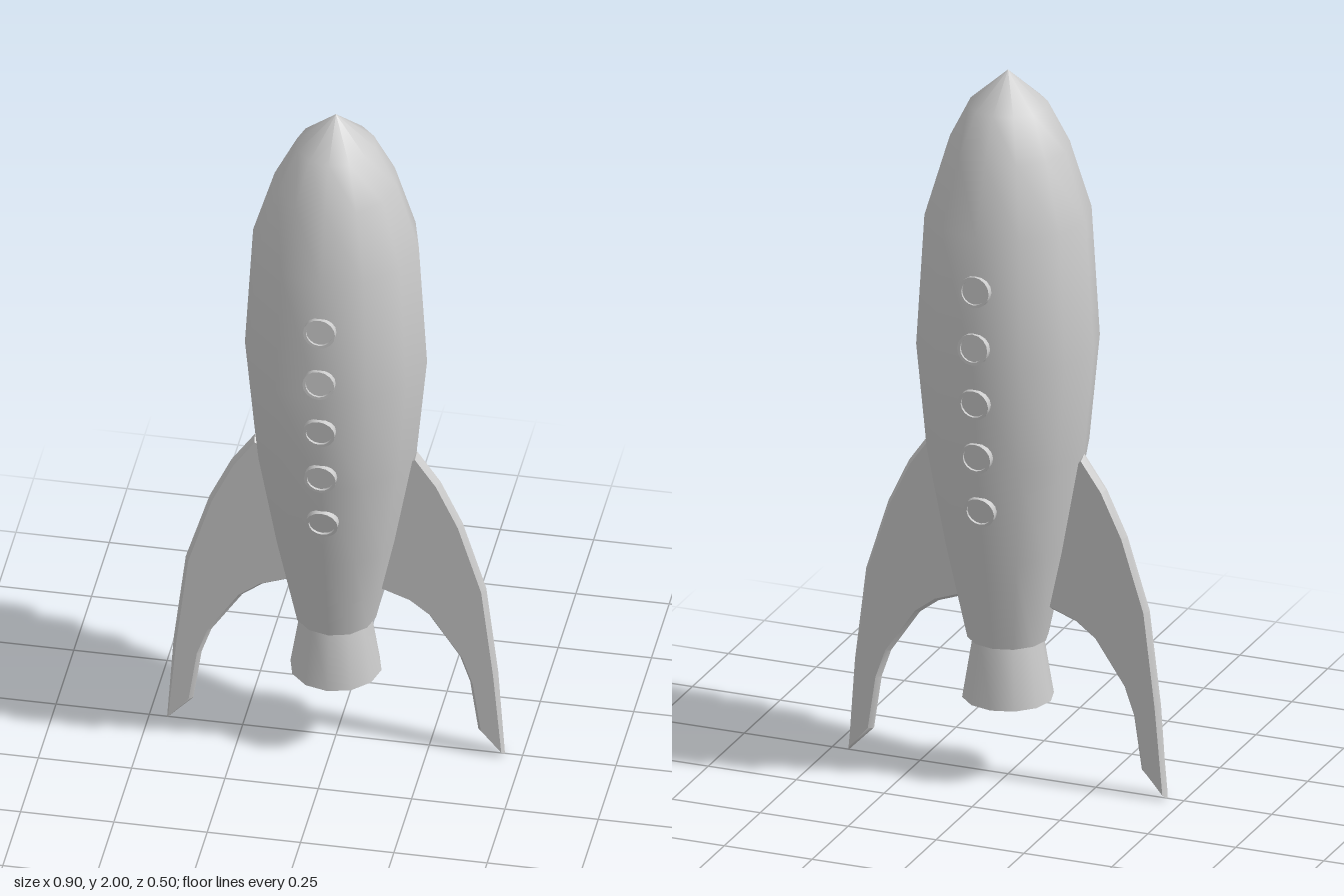
import * as THREE from 'three';
import { toCreasedNormals } from 'three/addons/utils/BufferGeometryUtils.js';

const material = new THREE.MeshStandardMaterial({ color: 0xcccccc });
const vectors = (points) => points.map(([x, y]) => new THREE.Vector2(x, y));

function mesh(name, geometry, crease) {
  const part = new THREE.Mesh(toCreasedNormals(geometry, crease), material);
  part.name = name;
  return part;
}

const lathe = (name, points, sides) =>
  mesh(name, new THREE.LatheGeometry(vectors(points), sides), 0.75);

// Hull profile [radius, y], from tail to nose
const hull = [
  [0.108, 0.395], [0.165, 0.66], [0.216, 0.94], [0.244, 1.235],
  [0.222, 1.6], [0.164, 1.79], [0.106, 1.905], [0, 2],
];

// Radius and lean of the hull at a given height
function hullAt(y) {
  const i = hull.findIndex((p) => p[1] > y);
  const [r0, y0] = hull[i - 1];
  const [r1, y1] = hull[i];
  const slope = (r1 - r0) / (y1 - y0);
  return { radius: r0 + slope * (y - y0), lean: Math.atan(slope) };
}

// Swept fin pointing to +x, with a chamfered edge all round
function createFin(name) {
  const outline = [
    [0.16, 0.9], [0.217, 0.94], [0.28, 0.85], [0.339, 0.725], [0.402, 0.524],
    [0.434, 0.26], [0.452, 0.0], [0.382, 0.072], [0.36, 0.222], [0.333, 0.3],
    [0.25, 0.423], [0.196, 0.464], [0.13, 0.488], [0.09, 0.5],
  ];
  const depth = 0.006;
  const geometry = new THREE.ExtrudeGeometry(new THREE.Shape(vectors(outline)), {
    depth, bevelThickness: 0.015, bevelSize: 0.01, bevelOffset: -0.01, bevelSegments: 1,
  });
  geometry.translate(0, 0, -depth / 2);
  return mesh(name, geometry, 0.6);
}

export function createModel() {
  const rocket = new THREE.Group();
  rocket.name = 'rocket';

  rocket.add(lathe('hull', [[0, 0.395], ...hull], 12));

  // Hollow flared nozzle: inside wall first, then the rim and the outside
  rocket.add(lathe('nozzle', [
    [0, 0.37], [0.078, 0.37], [0.106, 0.225], [0.122, 0.225], [0.094, 0.396],
  ], 12));

  const leftFin = createFin('leftFin');
  const rightFin = createFin('rightFin');
  rightFin.rotation.y = Math.PI;
  rocket.add(leftFin, rightFin);

  // A row of portholes on the front and on the back, leaning with the hull
  for (const side of ['front', 'back']) {
    const row = new THREE.Group();
    row.name = side + 'Portholes';
    for (const y of [0.817, 0.979, 1.137, 1.296, 1.455]) {
      const { radius, lean } = hullAt(y);
      const porthole = lathe('porthole', [
        [0.043, -0.025], [0.043, 0.009], [0.035, 0.009], [0.035, 0.002], [0, 0.002],
      ], 16);
      porthole.position.set(0, y, radius);
      porthole.rotation.x = Math.PI / 2 + lean;
      row.add(porthole);
    }
    if (side === 'back') row.rotation.y = Math.PI;
    rocket.add(row);
  }

  return rocket;
}
